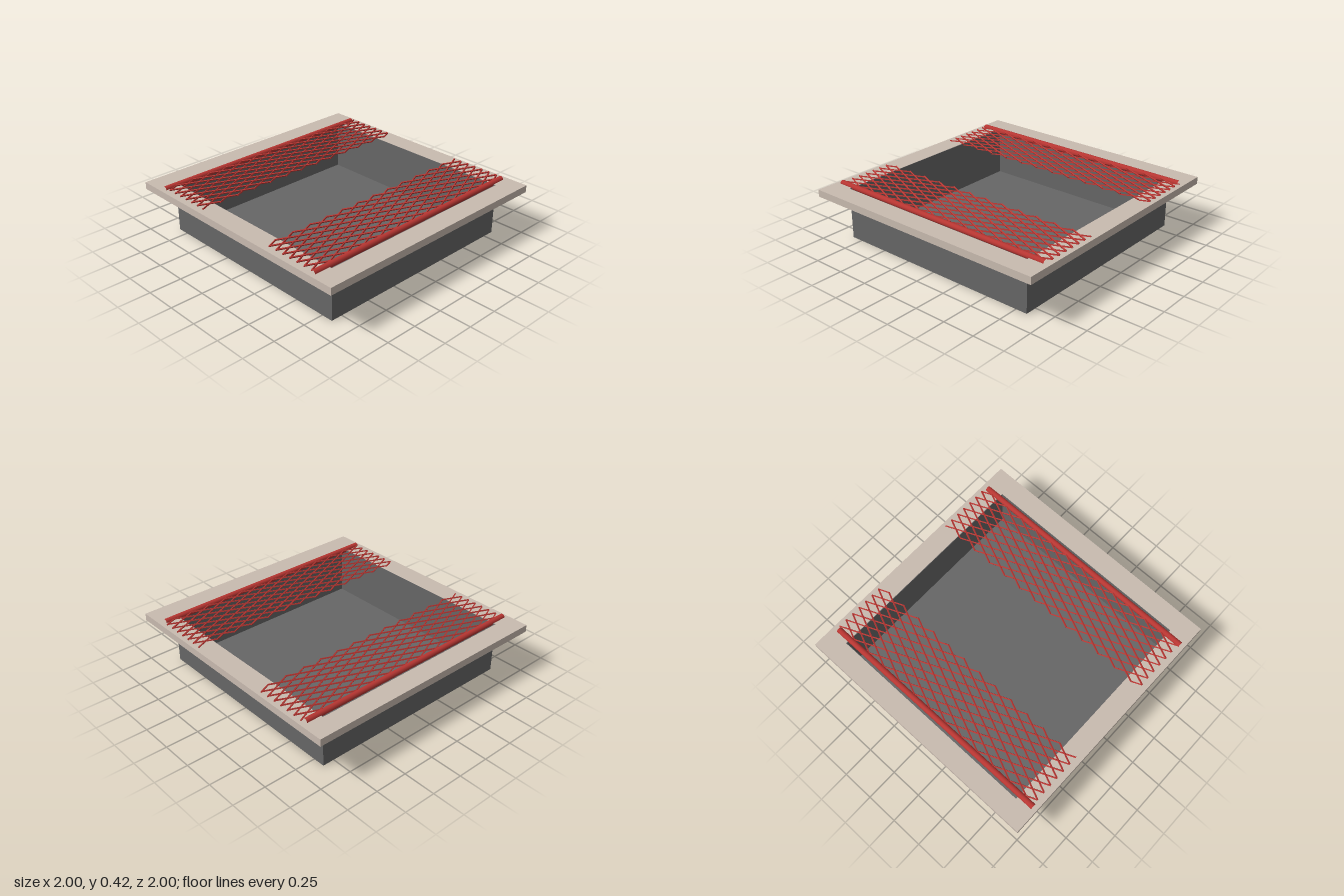
import * as THREE from 'three';
import { mergeGeometries } from 'three/addons/utils/BufferGeometryUtils.js';

const material = (name, color) => {
  const m = new THREE.MeshStandardMaterial({ color });
  m.name = name;
  return m;
};

// Four thin upright panels around a square, outer faces at +-half
function squareWalls(half, y0, y1, t) {
  const parts = [];
  for (let i = 0; i < 4; i++) {
    const g = new THREE.BoxGeometry(2 * half - t, y1 - y0, t);
    g.translate(-t / 2, (y0 + y1) / 2, half - t / 2);
    g.rotateY((i * Math.PI) / 2);
    parts.push(g);
  }
  return mergeGeometries(parts);
}

// Slim four-sided bar between two points
function bar(a, b, r) {
  const d = b.clone().sub(a);
  const g = new THREE.CylinderGeometry(r, r, d.length(), 4).toNonIndexed();
  g.computeVertexNormals();
  g.applyQuaternion(new THREE.Quaternion().setFromUnitVectors(
    new THREE.Vector3(0, 1, 0), d.normalize()));
  const mid = a.clone().add(b).multiplyScalar(0.5);
  return g.translate(mid.x, mid.y, mid.z);
}

// Flat diamond lattice of straight bars, in two crossing layers
function lattice(x0, x1, z0, z1, cols, rows) {
  const parts = [];
  const dx = (x1 - x0) / cols, dz = (z1 - z0) / rows;
  for (const dir of [1, -1]) {
    const first = dir > 0 ? 0 : cols;
    const y = dir > 0 ? 0.4035 : 0.4075;
    const point = (i, k) => new THREE.Vector3(x0 + i * dx, y, z0 + k * dz);
    const run = (i, k) => {
      const n = Math.min(dir > 0 ? cols - i : i, rows - k);
      if (n > 0 && (i + k) % 2 === 0) parts.push(bar(point(i, k), point(i + dir * n, k + n), 0.0065));
    };
    for (let k = 0; k < rows; k++) run(first, k);
    for (let i = 0; i <= cols; i++) if (i !== first) run(i, 0);
  }
  return mergeGeometries(parts);
}

export function createModel() {
  const model = new THREE.Group();
  const stone = material('pale stone', 0xc9bbb0);
  const steel = material('dark grey', 0x666666);
  const red = material('red', 0xb83632);
  const add = (name, geometry, mat) => {
    const mesh = new THREE.Mesh(geometry, mat);
    mesh.name = name;
    model.add(mesh);
    return mesh;
  };

  // Open-topped pit
  const pit = 0.84;
  add('pitWalls', squareWalls(pit, 0, 0.397, 0.004), steel);
  add('pitFloor', new THREE.BoxGeometry(2 * pit - 0.008, 0.004, 2 * pit - 0.008).translate(0, 0.002, 0), steel);

  // Surround: thin top plate with square opening, hollow underneath
  const square = (Type, h) => new Type([[-h, -h], [h, -h], [h, h], [-h, h]].map(p => new THREE.Vector2(...p)));
  const plate = square(THREE.Shape, 1);
  plate.holes.push(square(THREE.Path, pit));
  const top = new THREE.ExtrudeGeometry(plate, { depth: 0.006, bevelEnabled: false });
  add('surroundTop', top.rotateX(-Math.PI / 2).translate(0, 0.392, 0), stone);
  add('surroundSkirt', squareWalls(1, 0.342, 0.392, 0.005), stone);

  // Side rails and folded lattices
  for (const side of [-1, 1]) {
    const label = side > 0 ? 'left' : 'right';
    const rail = new THREE.CylinderGeometry(0.0225, 0.0225, 1.92, 12, 1, true);
    rail.rotateX(Math.PI / 2).translate(side * 0.8, 0.3975, 0.005);
    add(label + 'Rail', rail, red);
    const [a, b] = side > 0 ? [0.34, 0.78] : [-0.78, -0.345];
    add(label + 'Lattice', lattice(a, b, -0.97, 0.955, 13, 25), red);
  }
  return model;
}
